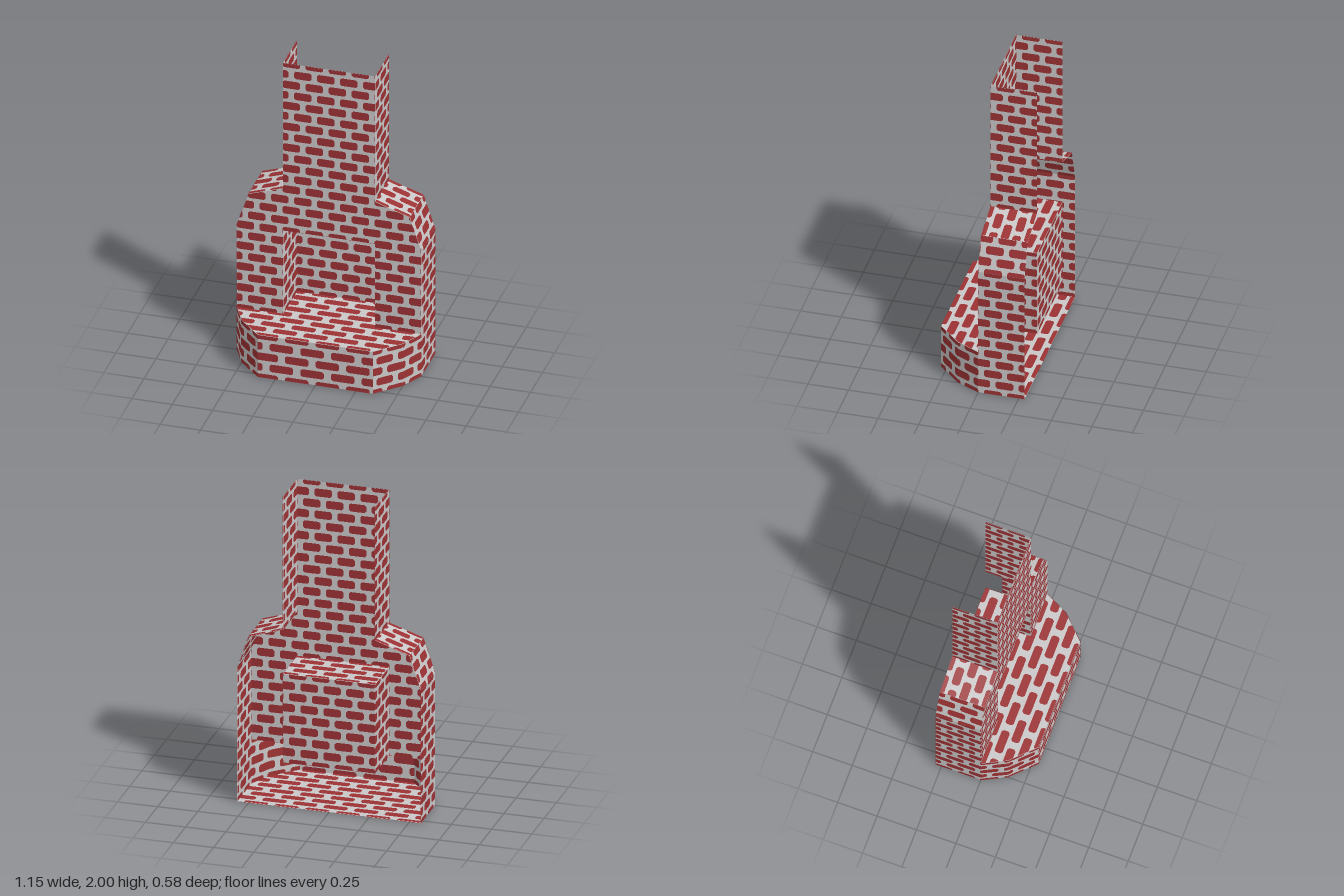
import * as THREE from 'three';

const C = 1 / 14;      // height of one brick course; the whole model sits on this module
const LIFT = 0.002;    // how far the brick faces stand off the mortar

// Keep the part of a convex polygon that lies inside another convex polygon (counterclockwise)
function clip(poly, region) {
  let out = poly;
  region.forEach((a, i) => {
    const b = region[(i + 1) % region.length];
    const side = p => (b[0] - a[0]) * (p[1] - a[1]) - (b[1] - a[1]) * (p[0] - a[0]);
    const next = [];
    out.forEach((p, j) => {
      const q = out[(j + 1) % out.length];
      const sp = side(p), sq = side(q);
      if (sp >= 0) next.push(p);
      if (sp * sq < 0) {
        const t = sp / (sp - sq);
        next.push([p[0] + (q[0] - p[0]) * t, p[1] + (q[1] - p[1]) * t]);
      }
    });
    out = next;
  });
  return out;
}

// One brick face with worn corners
function brickOutline(x, y, length) {
  const w = length / 2, h = 0.0255, c = 0.011;
  return [[x - w + c, y - h], [x + w - c, y - h], [x + w, y - h + c], [x + w, y + h - c],
    [x + w - c, y + h], [x - w + c, y + h], [x - w, y + h - c], [x - w, y - h + c]];
}

export function createModel() {
  const model = new THREE.Group();
  model.name = 'brickFireplace';
  const brick = new THREE.MeshStandardMaterial({ color: 0x9c3234, side: THREE.DoubleSide });
  brick.name = 'brick red';
  const mortar = new THREE.MeshStandardMaterial({ color: 0xc9c7c7, side: THREE.DoubleSide });
  mortar.name = 'mortar grey';

  const V = (x, y, z) => new THREE.Vector3(x, y, z).multiplyScalar(C);
  const X = new THREE.Vector3(1, 0, 0), Y = new THREE.Vector3(0, 1, 0), Z = new THREE.Vector3(0, 0, 1);

  // Flat brickwork made of convex pieces lying in the plane origin + u*a + v*b
  function panel(name, pieces, origin, u, v, period = 2 * C) {
    const normal = u.clone().cross(v).normalize();
    const group = new THREE.Group();
    group.name = name;
    const add = (label, polys, offsets, material) => {
      const pos = [];
      for (const d of offsets) for (const poly of polys) {
        const pts = poly.map(([a, b]) => origin.clone().addScaledVector(u, a)
          .addScaledVector(v, b).addScaledVector(normal, d));
        for (let i = 1; i < pts.length - 1; i++)
          for (const p of [pts[0], pts[i], pts[i + 1]]) pos.push(p.x, p.y, p.z);
      }
      const geo = new THREE.BufferGeometry();
      geo.setAttribute('position', new THREE.Float32BufferAttribute(pos, 3));
      geo.computeVertexNormals();
      const mesh = new THREE.Mesh(geo, material);
      mesh.name = label;
      group.add(mesh);
    };
    const bricks = [];
    for (const piece of pieces) {
      const as = piece.map(p => p[0]), bs = piece.map(p => p[1]);
      for (let r = Math.round(Math.min(...bs) / C); r <= Math.round(Math.max(...bs) / C); r++) {
        const shift = (r & 1 ? 0 : 0.5) * period - 0.02;
        const first = Math.floor(Math.min(...as) / period) - 1;
        const last = Math.ceil(Math.max(...as) / period) + 1;
        for (let k = first; k <= last; k++) {
          const cut = clip(brickOutline(k * period + shift, r * C, period * 0.77), piece);
          if (cut.length > 2) bricks.push(cut);
        }
      }
    }
    add(name + 'Mortar', pieces, [0], mortar);
    add(name + 'Bricks', bricks, [LIFT, -LIFT], brick);
    model.add(group);
  }

  const scale = pts => pts.map(([a, b]) => [a * C, b * C]);
  const rect = (a0, b0, a1, b1) => scale([[a0, b0], [a1, b0], [a1, b1], [a0, b1]]);
  const origin = V(0, 0, 0);
  const LONG = 0.19;     // longer bricks of the hearth

  // Front wall around the opening, with shoulders and chimney breast
  panel('frontWall', [
    rect(-8, 4, -4, 12), rect(4, 4, 8, 12),
    scale([[-8, 12], [8, 12], [7, 15], [4, 16], [-4, 16], [-7, 15]]),
    rect(-4, 16, 4, 28),
  ], origin, X, Y);

  // Firebox back and top
  panel('fireboxBack', [rect(-4, 4, 4, 12)], V(0, 0, -4), X, Y);
  panel('fireboxTop', [rect(-4, -4, 4, 0)], V(0, 12, 0), X, Z, LONG);

  // Hearth slab top running into the firebox, and the floor below everything
  const apron = scale([[-8, 0], [8, 0], [7, 2], [5, 4], [-5, 4], [-7, 2]]);
  panel('hearthTop', [apron, rect(-4, -4, 4, 0)], V(0, 4, 0), X, Z, LONG);
  panel('floor', [apron, rect(-8, -4, 8, 0)], origin, X, Z, LONG);
  panel('hearthFront', [rect(-5, 0, 5, 4)], V(0, 0, 4), X, Y, LONG);

  for (const [side, s] of [['left', 1], ['right', -1]]) {
    // Upright side walls, running back from the front wall
    panel(side + 'SideWall', [rect(-4, 0, 0, 12)], V(s * 8, 0, 0), Z, Y);
    panel(side + 'FireboxWall', [rect(-4, 4, 0, 12)], V(s * 4, 0, 0), Z, Y);
    panel(side + 'ChimneyWall', [rect(-4, 16, 0, 28)], V(s * 4, 0, 0), Z, Y);

    // Steep and shallow faces of the shoulder
    const len = Math.sqrt(10);
    panel(side + 'LowerShoulder', [rect(-4, 0, 0, len)], V(s * 8, 12, 0), Z,
      new THREE.Vector3(-s, 3, 0).normalize());
    panel(side + 'UpperShoulder', [rect(0, -4, len, 0)], V(s * 7, 15, 0),
      new THREE.Vector3(-3 * s, 1, 0).normalize(), Z);

    // Angled hearth corners
    const corner = [[8, 0], [7, 2], [5, 4]];
    for (let i = 0; i < 2; i++) {
      const [a, b] = [corner[i], corner[i + 1]];
      const along = new THREE.Vector3(s * (b[0] - a[0]), 0, b[1] - a[1]);
      panel(side + 'HearthCorner' + (i + 1), [rect(0, 0, along.length(), 4)],
        V(s * a[0], 0, a[1]), along.clone().normalize(), Y);
    }
  }
  return model;
}
